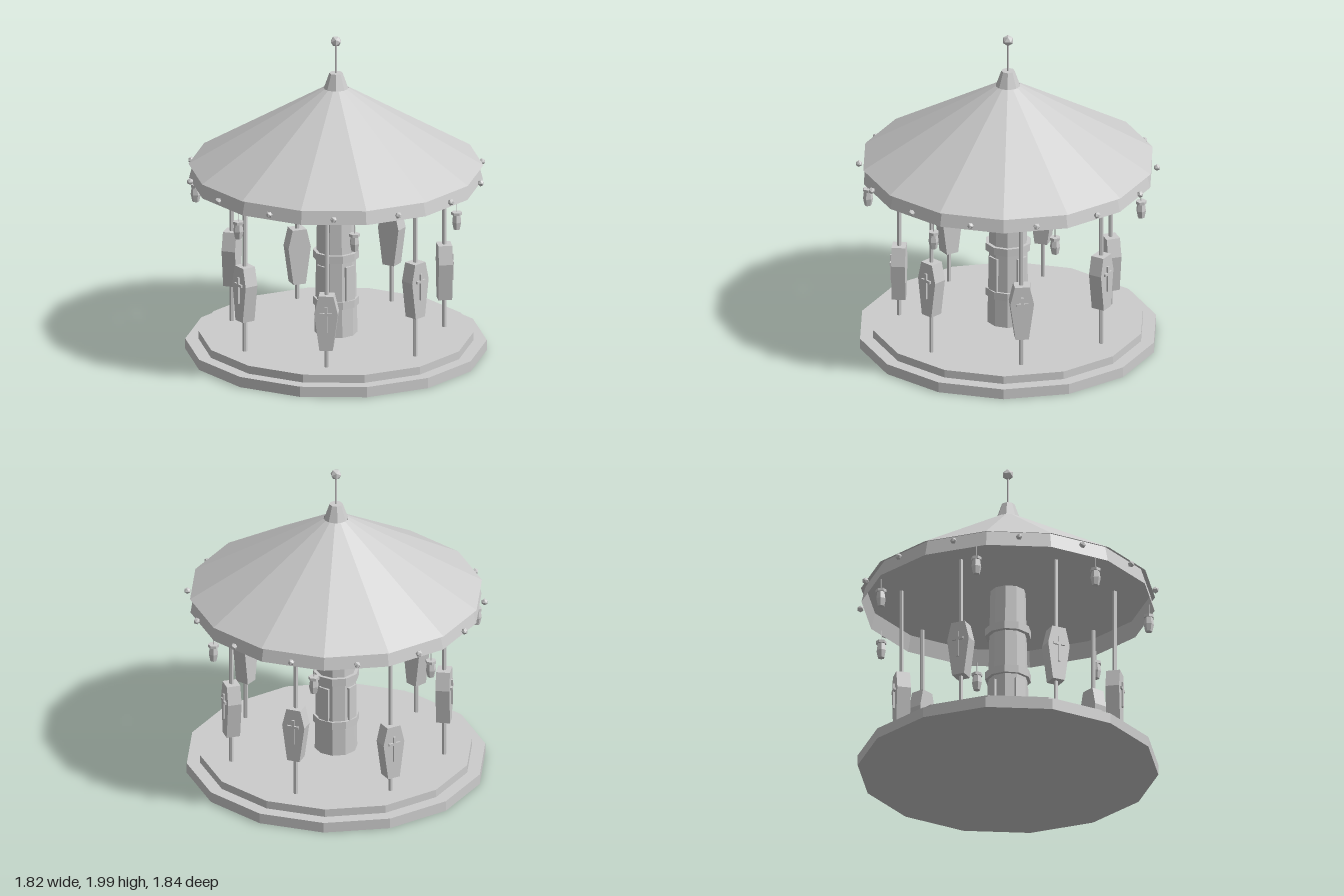
import * as THREE from 'three';

const stone = new THREE.MeshStandardMaterial({ color: 0xcccccc, flatShading: true, side: THREE.DoubleSide });
stone.name = 'paleGrey';

function add(parent, name, geometry, x = 0, y = 0, z = 0) {
  const mesh = new THREE.Mesh(geometry, stone);
  mesh.name = name;
  mesh.position.set(x, y, z);
  parent.add(mesh);
  return mesh;
}

// Faceted drum between two heights, with a corner on the x axis
function drum(parent, name, rBottom, rTop, y0, y1, sides, open = false) {
  const g = new THREE.CylinderGeometry(rTop, rBottom, y1 - y0, sides, 1, open, Math.PI / 2);
  return add(parent, name, g, 0, (y0 + y1) / 2, 0);
}

// Group placed at an angle around the centre, its +z facing outward
function spoke(parent, name, angle, radius, y = 0) {
  const g = new THREE.Group();
  g.name = name;
  g.position.set(Math.sin(angle) * radius, y, Math.cos(angle) * radius);
  g.rotation.y = angle;
  parent.add(g);
  return g;
}

// Six-sided coffin body centred on its origin
function coffinGeometry() {
  const depth = 0.085;
  const shape = new THREE.Shape([
    [-0.04, -0.173], [0.04, -0.173], [0.072, 0.06], [0.045, 0.173], [-0.045, 0.173], [-0.072, 0.06],
  ].map(([x, y]) => new THREE.Vector2(x, y)));
  return new THREE.ExtrudeGeometry(shape, { depth, bevelEnabled: false }).translate(0, 0, -depth / 2);
}

export function createModel() {
  const model = new THREE.Group();
  model.name = 'carousel';
  const step = (Math.PI * 2) / 7;

  // Stepped platform
  drum(model, 'platformBase', 0.91, 0.91, 0, 0.065, 14);
  drum(model, 'platformDeck', 0.83, 0.83, 0.065, 0.115, 14);

  // Central column with bands and raised panels
  drum(model, 'column', 0.13, 0.108, 0.115, 1.18, 10);
  for (const y of [0.32, 0.615, 0.905]) drum(model, 'columnBand', 0.14, 0.14, y - 0.024, y + 0.024, 10);
  for (let i = 0; i < 4; i++) {
    const panel = spoke(model, 'columnPanel', Math.PI / 4 + i * Math.PI / 2, 0.117, 0.44);
    add(panel, 'panelBoard', new THREE.BoxGeometry(0.07, 0.24, 0.02));
  }

  // Roof, valance and finial
  drum(model, 'roof', 0.89, 0.075, 1.18, 1.67, 14, true);
  drum(model, 'valance', 0.887, 0.862, 1.09, 1.19, 14, true);
  drum(model, 'roofCap', 0.075, 0.04, 1.665, 1.765, 8);
  drum(model, 'finialRod', 0.006, 0.006, 1.76, 1.95, 6);
  add(model, 'finialBall', new THREE.IcosahedronGeometry(0.035, 0), 0, 1.965, 0);

  // Bulbs around the rim
  const bulb = new THREE.IcosahedronGeometry(0.021, 0);
  for (let i = 0; i < 14; i++) {
    add(spoke(model, 'rimBulb', i * step / 2, 0.9, 1.135), 'bulb', bulb);
  }

  // Coffin seats on poles, crosses facing outward
  const coffin = coffinGeometry();
  const heights = [0.403, 0.54, 0.47, 0.527, 0.39, 0.517, 0.485];
  heights.forEach((y, i) => {
    const seat = spoke(model, 'coffinSeat', i * step - 0.07, 0.66);
    drum(seat, 'pole', 0.014, 0.014, 0.115, 1.12, 6);
    add(seat, 'coffin', coffin, 0, y, 0);
    add(seat, 'crossUpright', new THREE.BoxGeometry(0.016, 0.165, 0.016), 0, y + 0.025, 0.046);
    add(seat, 'crossArm', new THREE.BoxGeometry(0.075, 0.016, 0.016), 0, y + 0.06, 0.046);
  });

  // Hanging lanterns under the rim
  const lanternBody = new THREE.LatheGeometry(
    [[0, 0.918], [0.021, 0.918], [0.031, 0.965], [0.024, 1.015], [0, 1.015]].map(([r, y]) => new THREE.Vector2(r, y)), 6);
  for (let i = 0; i < 7; i++) {
    const lantern = spoke(model, 'lantern', 0.148 + i * step, 0.85);
    add(lantern, 'lanternBody', lanternBody);
    drum(lantern, 'lanternCap', 0.033, 0.033, 1.01, 1.028, 6);
    drum(lantern, 'lanternCord', 0.003, 0.003, 1.028, 1.1, 4);
  }

  return model;
}
